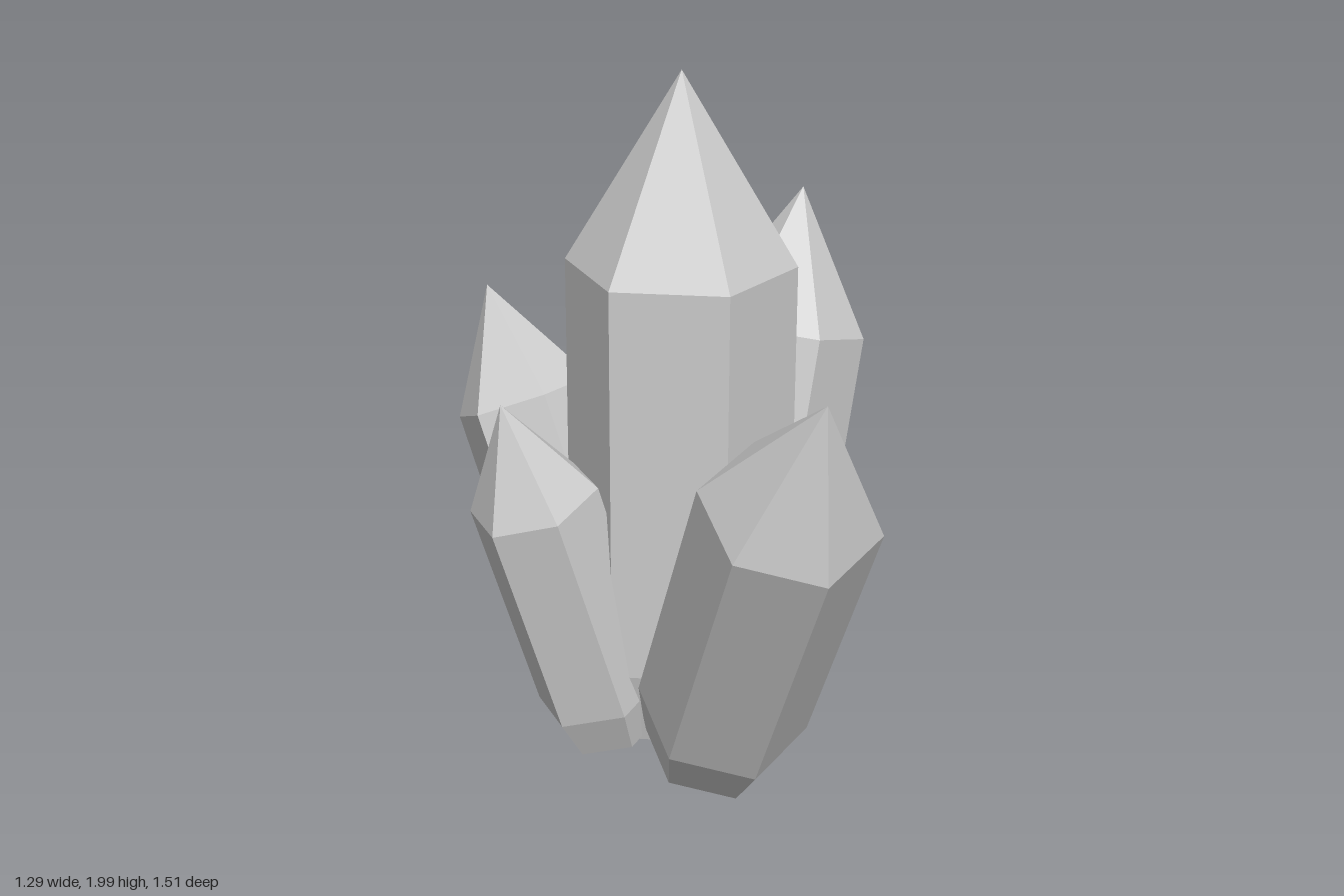
import * as THREE from 'three';

// Crystal template of length 1 along y: narrow foot, straight body, pointed tip
const PROFILE = [[0, 0], [0.135, 0], [0.1685, 0.12], [0.1685, 0.72], [0, 1]];

// base and tip are the end points of each crystal's axis
const CRYSTALS = [
  { name: 'centreCrystal', base: [0.06, 0.1, -0.075], tip: [0.06, 2, -0.075] },
  { name: 'frontLeftCrystal', base: [0.176, 0.1, 0.14], tip: [0.5, 1.38, 0.72] },
  { name: 'backLeftCrystal', base: [0.171, 0.1, -0.3], tip: [0.36, 1.535, -0.64] },
  { name: 'backRightCrystal', base: [-0.136, 0.1, -0.206], tip: [-0.565, 1.245, -0.485] },
  { name: 'frontRightCrystal', base: [-0.119, 0.1, 0.064], tip: [-0.39, 1.15, 0.235] },
];

function crystalGeometry() {
  const points = PROFILE.map(([r, y]) => new THREE.Vector2(r, y));
  // Six sides, with corners on the x axis
  const geometry = new THREE.LatheGeometry(points, 6, Math.PI / 6).toNonIndexed();
  geometry.computeVertexNormals();
  return geometry;
}

export function createModel() {
  const group = new THREE.Group();
  group.name = 'crystalCluster';
  const stone = new THREE.MeshStandardMaterial({ color: 0xcccccc, flatShading: true });
  stone.name = 'pale grey crystal';
  const geometry = crystalGeometry();
  const up = new THREE.Vector3(0, 1, 0);

  // Scale the template to each axis length and lean it along the axis
  for (const { name, base, tip } of CRYSTALS) {
    const start = new THREE.Vector3(...base);
    const axis = new THREE.Vector3(...tip).sub(start);
    const crystal = new THREE.Mesh(geometry, stone);
    crystal.name = name;
    crystal.position.copy(start);
    crystal.scale.setScalar(axis.length());
    crystal.quaternion.setFromUnitVectors(up, axis.normalize());
    group.add(crystal);
  }
  return group;
}
